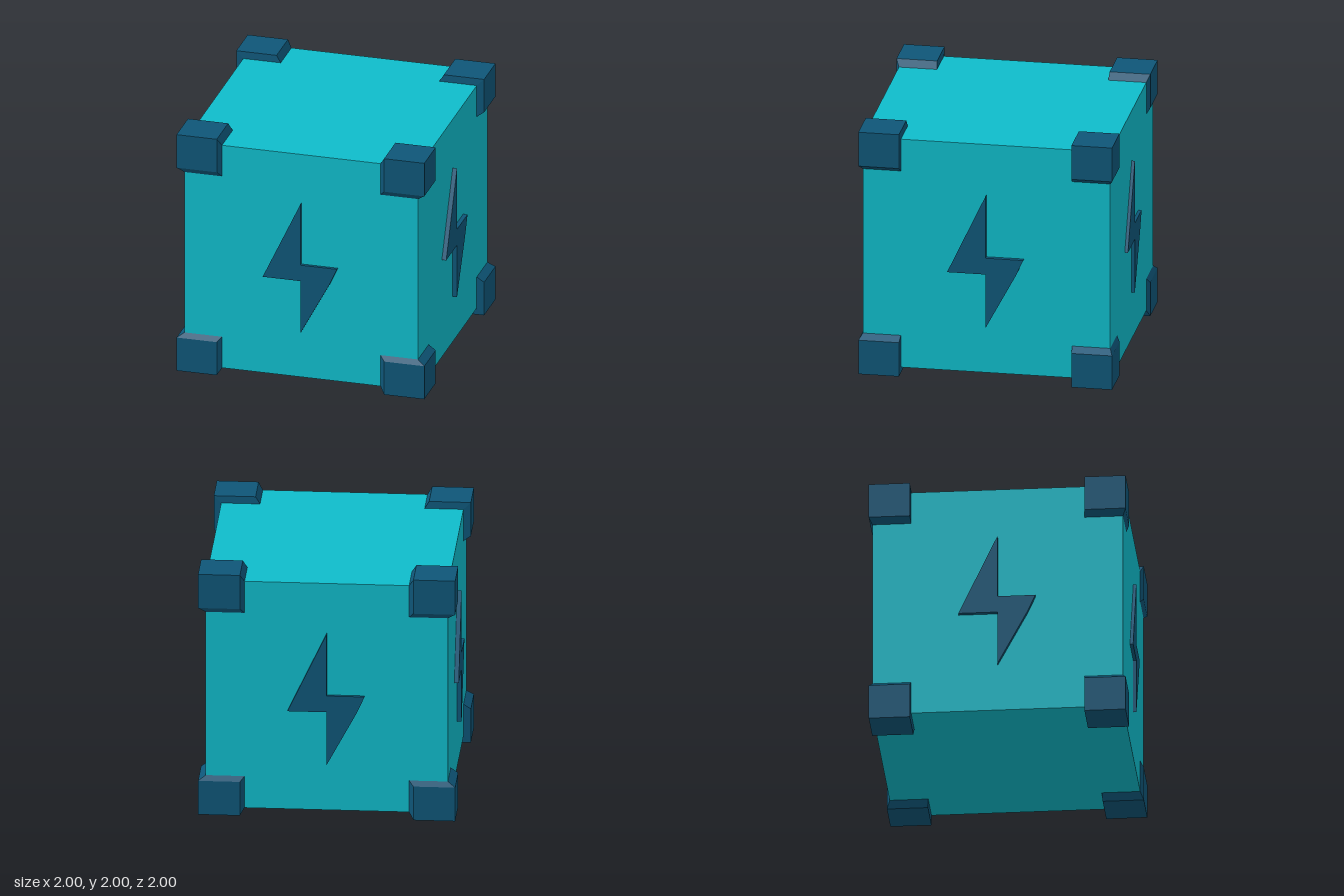
import * as THREE from 'three';

const BODY = { x: 0.942, y: 0.943, z: 0.975 }; // half sizes, centred at y = 1

// Flared cap wrapping one cube corner; sx, sy, sz choose the corner
function cornerGeometry(sx, sy, sz) {
  const { x, y, z } = BODY;
  const points = [
    [1, 1, 1], // tip
    // inner rim of the three outer faces
    [0.675, 1, 1], [0.675, 0.72, 1], [1, 0.72, 1],
    [1, 0.72, 0.68], [1, 1, 0.68], [0.675, 1, 0.68],
    // flared rim resting on the body
    [0.64, y, z], [0.64, 0.68, z], [x, 0.68, z],
    [x, 0.68, 0.675], [x, y, 0.675], [0.64, y, 0.675],
  ].map(p => [p[0] * sx, p[1] * sy, p[2] * sz]);

  const quads = [[0, 1, 2, 3], [0, 3, 4, 5], [0, 5, 6, 1]];
  for (let i = 0; i < 6; i++) {
    const j = (i + 1) % 6;
    quads.push([1 + i, 7 + i, 7 + j, 1 + j]);
  }
  const pos = [];
  for (const q of quads) {
    const [a, b, c, d] = sx * sy * sz > 0 ? q : q.slice().reverse();
    for (const k of [a, b, c, a, c, d]) pos.push(...points[k]);
  }
  const geo = new THREE.BufferGeometry();
  geo.setAttribute('position', new THREE.Float32BufferAttribute(pos, 3));
  geo.computeVertexNormals();
  return geo;
}

export function createModel() {
  const group = new THREE.Group();
  const cyan = new THREE.MeshStandardMaterial({ color: 0x0fbccb });
  const navy = new THREE.MeshStandardMaterial({ color: 0x0e5678 });
  const add = (name, geo, mat) => {
    const mesh = new THREE.Mesh(geo, mat);
    mesh.name = name;
    mesh.position.y = 1;
    group.add(mesh);
    return mesh;
  };

  // Crate body
  add('body', new THREE.BoxGeometry(2 * BODY.x, 2 * BODY.y, 2 * BODY.z), cyan);

  // Eight corner caps
  for (const sx of [1, -1]) for (const sy of [1, -1]) for (const sz of [1, -1]) {
    const name = `${sy > 0 ? 'top' : 'bottom'}${sz > 0 ? 'Front' : 'Back'}${sx > 0 ? 'Left' : 'Right'}Corner`;
    add(name, cornerGeometry(sx, sy, sz), navy);
  }

  // Raised lightning bolt on each of the four sides
  const bolt = new THREE.Shape([
    [0, 0.53], [-0.305, -0.12], [0, -0.12], [0, -0.56],
    [0.235, -0.12], [0.295, 0.015], [0, 0.015],
  ].map(p => new THREE.Vector2(...p)));
  ['front', 'left', 'back', 'right'].forEach((side, i) => {
    const [base, face] = i % 2 ? [BODY.x, 0.977] : [BODY.z, 1];
    const geo = new THREE.ExtrudeGeometry(bolt, { depth: face - base + 0.01, bevelEnabled: false });
    geo.translate(0, 0, base - 0.01);
    add(`${side}Bolt`, geo, navy).rotation.y = i * Math.PI / 2;
  });

  return group;
}
